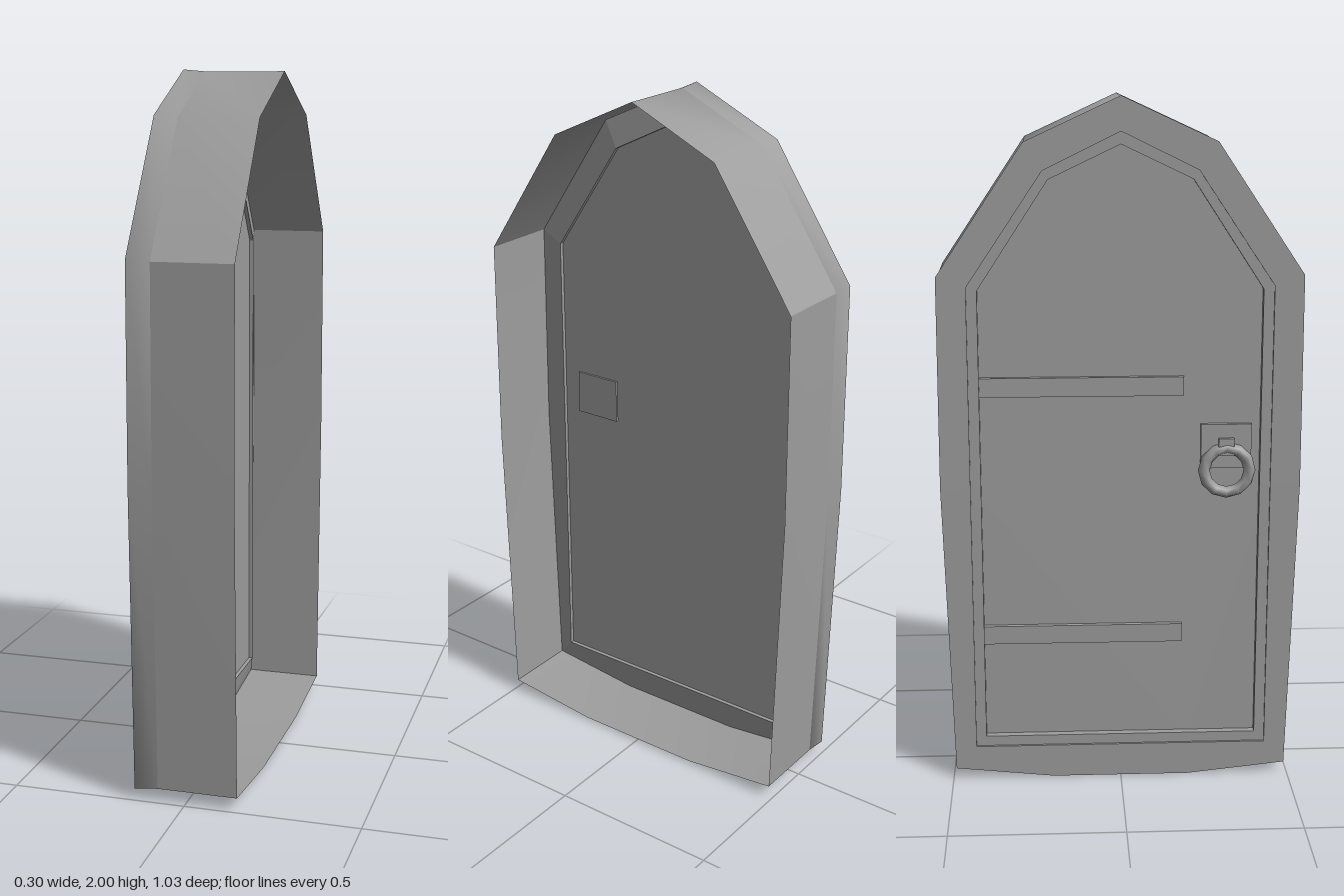
import * as THREE from 'three';

const mat = new THREE.MeshStandardMaterial({ color: 0x9d9d9d, side: THREE.DoubleSide });

// half outlines as [z, y], apex first; mirrored into closed loops of 11 points
const mirror = (half) => [...half, ...half.slice(1).reverse().map(([z, y]) => [-z, y])];
const outer = mirror([[0, 2], [0.267, 1.877], [0.513, 1.51], [0.516, 0.9], [0.491, 0.031], [0.2, 0]]);
const opening = mirror([[0, 1.905], [0.215, 1.8], [0.43, 1.48], [0.43, 0.9], [0.43, 0.1], [0.2, 0.1]]);
const bead = mirror([[0, 1.87], [0.2, 1.775], [0.4, 1.47], [0.4, 0.9], [0.4, 0.13], [0.2, 0.13]]);
const rear = outer.map(([z, y]) => [z * 0.994, 1 + (y - 1) * 0.994]);

// runs of the outline that shade as one smooth surface each
const runs = { archWall: [9, 10, 0, 1, 2], leftWall: [2, 3, 4], baseWall: [4, 5, 6, 7], rightWall: [7, 8, 9] };

// joins matching outlines placed at successive x positions
function loft(sections, { closed = true, smooth = false } = {}) {
  const n = sections[0].loop.length;
  const pos = [];
  const idx = [];
  sections.forEach(({ x, loop }) => loop.forEach(([z, y]) => pos.push(x, y, z)));
  for (let s = 0; s < sections.length - 1; s++) {
    for (let i = 0; i < (closed ? n : n - 1); i++) {
      const j = (i + 1) % n;
      const a = s * n + i, b = s * n + j, c = a + n, d = b + n;
      idx.push(a, c, b, b, c, d);
    }
  }
  const indexed = new THREE.BufferGeometry();
  indexed.setAttribute('position', new THREE.Float32BufferAttribute(pos, 3));
  indexed.setIndex(idx);
  const g = smooth ? indexed : indexed.toNonIndexed();
  g.computeVertexNormals();
  return g;
}

// flat slab of an outline between two x positions
function slab(loop, xFront, xBack) {
  const shape = new THREE.Shape(loop.map(([z, y]) => new THREE.Vector2(z, y)));
  const g = new THREE.ExtrudeGeometry(shape, { depth: xBack - xFront, bevelEnabled: false });
  return g.rotateY(-Math.PI / 2).translate(xBack, 0, 0);
}

export function createModel() {
  const group = new THREE.Group();
  const add = (name, geometry) => {
    const mesh = new THREE.Mesh(geometry, mat);
    mesh.name = name;
    group.add(mesh);
    return mesh;
  };
  const box = (name, x0, x1, y0, y1, z0, z1) =>
    add(name, new THREE.BoxGeometry(x1 - x0, y1 - y0, z1 - z0))
      .position.set((x0 + x1) / 2, (y0 + y1) / 2, (z0 + z1) / 2);

  // thin surround walls, open at +x
  for (const [name, run] of Object.entries(runs)) {
    const loop = run.map((i) => rear[i]);
    add(name, loft([{ x: 0.149, loop }, { x: -0.08, loop }], { closed: false, smooth: true }));
  }

  // flared front rim, then the frame around the door
  add('flaredRim', loft([{ x: -0.08, loop: rear }, { x: -0.147, loop: outer }], { smooth: true }));
  add('doorFrame', loft([
    { x: -0.147, loop: outer }, { x: -0.147, loop: opening },
    { x: -0.057, loop: opening }, { x: -0.077, loop: rear },
  ]));

  // door leaf and its raised border
  add('doorPanel', slab(opening, -0.118, -0.069));
  add('doorBorder', loft([
    { x: -0.116, loop: opening }, { x: -0.14, loop: opening },
    { x: -0.14, loop: bead }, { x: -0.116, loop: bead },
  ]));

  // hinge straps
  for (const y of [0.42, 1.165]) box('hingeStrap', -0.132, -0.115, y, y + 0.055, -0.4, 0.18);

  // latch plate through the door, with the pull ring and its holder
  box('latchPlate', -0.132, -0.063, 0.95, 1.08, 0.23, 0.375);
  box('ringHolder', -0.146, -0.13, 0.99, 1.04, 0.28, 0.325);
  const ring = add('pullRing', new THREE.TorusGeometry(0.066, 0.017, 6, 12));
  ring.rotation.y = Math.PI / 2;
  ring.position.set(-0.135, 0.945, 0.305);

  return group;
}
